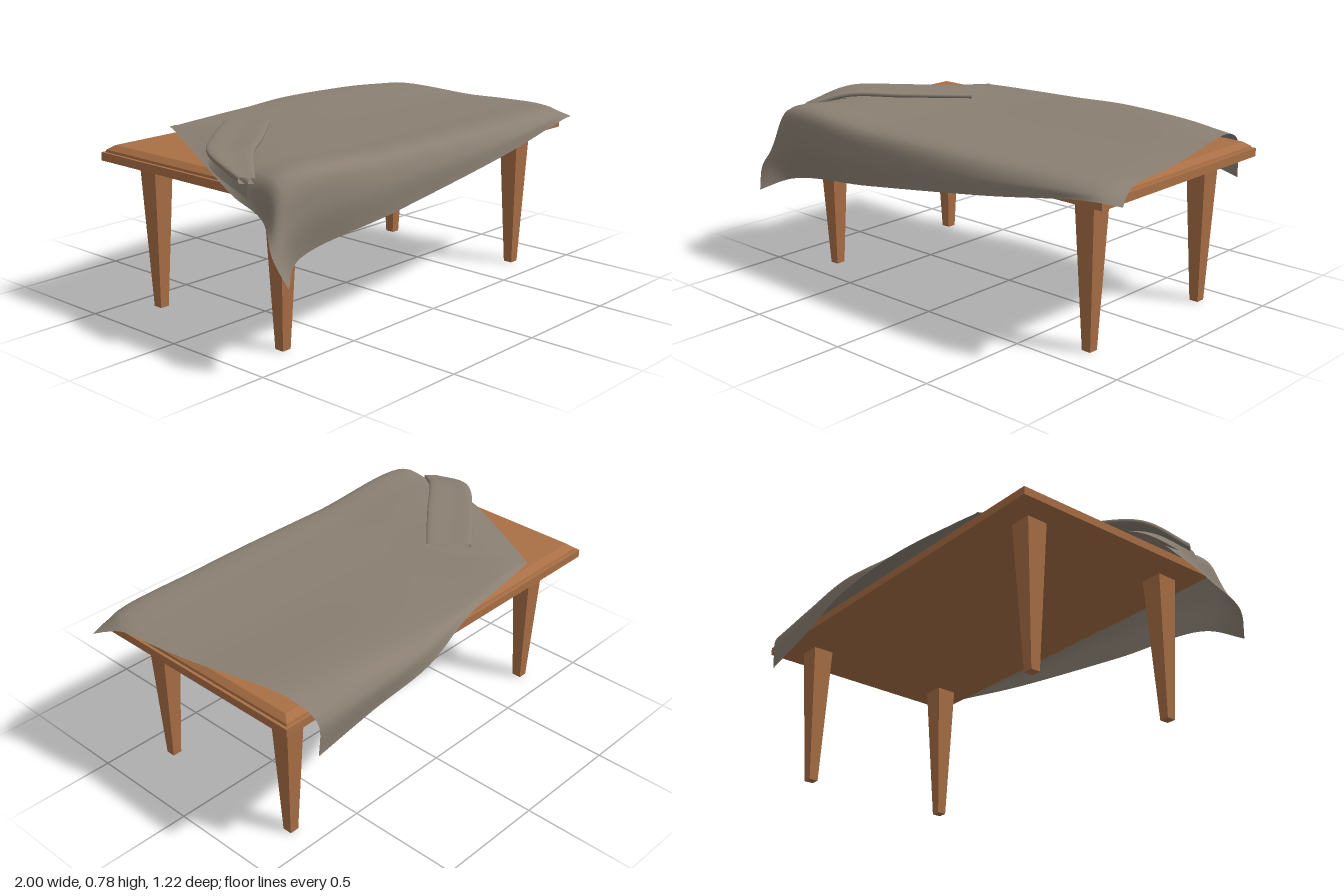
import * as THREE from 'three';

const wood = new THREE.MeshStandardMaterial({ color: 0xa96f45 });
wood.name = 'wood';
const cloth = new THREE.MeshStandardMaterial({ color: 0x8a7f72, side: THREE.DoubleSide });
cloth.name = 'greyBrownCloth';

function add(group, name, geometry, material) {
  const mesh = new THREE.Mesh(geometry, material);
  mesh.name = name;
  group.add(mesh);
  return mesh;
}

// Box whose top face has its own width and depth
function taperedBox(w, h, d, topW, topD) {
  const g = new THREE.BoxGeometry(w, h, d);
  const p = g.attributes.position;
  for (let i = 0; i < p.count; i++) {
    if (p.getY(i) > 0) p.setXYZ(i, p.getX(i) * topW / w, p.getY(i), p.getZ(i) * topD / d);
  }
  g.computeVertexNormals();
  return g;
}

// Smooth sheet through rows of control points
function sheet(rows, nu, nv) {
  const curve = pts => new THREE.CatmullRomCurve3(pts, false, 'centripetal');
  const at = (c, n, t) => c.getPoint(t / n);
  const across = rows.map(r => curve(r.map(p => new THREE.Vector3(...p))));
  const pos = [], index = [];
  for (let i = 0; i <= nu; i++) {
    const along = curve(across.map(c => at(c, nu, i)));
    for (let j = 0; j <= nv; j++) pos.push(...at(along, nv, j).toArray());
  }
  for (let i = 0; i < nu; i++) {
    for (let j = 0; j < nv; j++) {
      const a = i * (nv + 1) + j, b = a + nv + 1;
      index.push(a, b, a + 1, b, b + 1, a + 1);
    }
  }
  const g = new THREE.BufferGeometry();
  g.setAttribute('position', new THREE.Float32BufferAttribute(pos, 3));
  g.setIndex(index);
  g.computeVertexNormals();
  return g;
}

export function createModel() {
  const model = new THREE.Group();
  model.name = 'tableWithCloth';

  // Table top: slab, then two bevel steps
  const table = new THREE.Group();
  table.name = 'table';
  model.add(table);
  add(table, 'tableTopSlab', new THREE.BoxGeometry(1.81, 0.035, 1.02), wood).position.set(0, 0.6525, -0.02);
  add(table, 'tableTopStep', taperedBox(1.785, 0.01, 0.995, 1.78, 0.99), wood).position.set(0, 0.675, -0.02);
  add(table, 'tableTopBevel', taperedBox(1.78, 0.02, 0.99, 1.73, 0.93), wood).position.set(0, 0.69, -0.02);

  // Square tapered legs
  for (const x of [-0.75, 0.75]) {
    for (const z of [-0.37, 0.355]) {
      add(table, 'leg', taperedBox(0.042, 0.635, 0.042, 0.096, 0.096), wood).position.set(x, 0.3175, z);
    }
  }

  // Draped cloth, from the front hem over the top to the back hem
  const drape = [
    [[-0.97, 0.36, 0.61], [-0.84, 0.42, 0.53], [-0.3, 0.5, 0.55], [0.4, 0.605, 0.56], [0.86, 0.675, 0.53], [1.0, 0.67, 0.49]],
    [[-1.0, 0.47, 0.56], [-0.88, 0.57, 0.545], [-0.3, 0.63, 0.55], [0.4, 0.67, 0.55], [0.87, 0.7, 0.51], [0.975, 0.69, 0.44]],
    [[-0.95, 0.58, 0.46], [-0.9, 0.71, 0.5], [-0.3, 0.718, 0.505], [0.4, 0.722, 0.5], [0.87, 0.725, 0.45], [0.95, 0.715, 0.36]],
    [[-0.94, 0.64, 0.3], [-0.86, 0.73, 0.31], [-0.3, 0.73, 0.3], [0.35, 0.73, 0.28], [0.8, 0.727, 0.24], [0.93, 0.72, 0.18]],
    [[-0.9, 0.7, 0.13], [-0.8, 0.735, 0.1], [-0.25, 0.73, 0.03], [0.3, 0.73, 0], [0.75, 0.727, 0], [0.9, 0.72, 0]],
    [[-0.58, 0.73, -0.47], [-0.45, 0.735, -0.48], [-0.1, 0.735, -0.51], [0.21, 0.745, -0.53], [0.55, 0.738, -0.52], [0.82, 0.73, -0.46]],
    [[-0.572, 0.728, -0.485], [-0.45, 0.73, -0.497], [-0.1, 0.73, -0.54], [0.21, 0.715, -0.595], [0.53, 0.675, -0.59], [0.79, 0.66, -0.575]],
    [[-0.57, 0.725, -0.49], [-0.45, 0.725, -0.51], [-0.1, 0.715, -0.56], [0.21, 0.64, -0.61], [0.5, 0.575, -0.59], [0.79, 0.51, -0.58]],
  ];
  add(model, 'drapedCloth', sheet(drape, 60, 60), cloth);

  // Corner turned back over the top
  const flap = [
    [[-0.57, 0.73, -0.49], [-0.565, 0.732, -0.482], [-0.56, 0.735, -0.475]],
    [[-0.65, 0.735, -0.34], [-0.55, 0.75, -0.25], [-0.35, 0.755, -0.13]],
    [[-0.79, 0.735, 0], [-0.72, 0.755, 0.02], [-0.6, 0.752, 0.09]],
    [[-0.9, 0.71, 0.13], [-0.87, 0.75, 0.18], [-0.8, 0.748, 0.25]],
    [[-0.95, 0.65, 0.38], [-0.93, 0.71, 0.37], [-0.9, 0.72, 0.36]],
  ];
  add(model, 'turnedCorner', sheet(flap, 12, 30), cloth);

  // Flattened roll lying on the turned corner
  const ring = ([x, y, z], half, thick) => [[0, -1], [1, -0.8], [1, 0.8], [0, 1], [-1, 0.8], [-1, -0.8], [0, -1]]
    .map(([s, t]) => [x + s * half * 0.67, y + t * thick, z + s * half * 0.74]);
  const roll = [
    ring([-0.405, 0.764, -0.19], 0.095, 0.008),
    ring([-0.65, 0.766, 0.01], 0.1, 0.009),
    ring([-0.84, 0.764, 0.18], 0.085, 0.01),
    ring([-0.93, 0.71, 0.36], 0.03, 0.012),
  ];
  add(model, 'foldedRoll', sheet(roll, 36, 24), cloth);

  return model;
}
